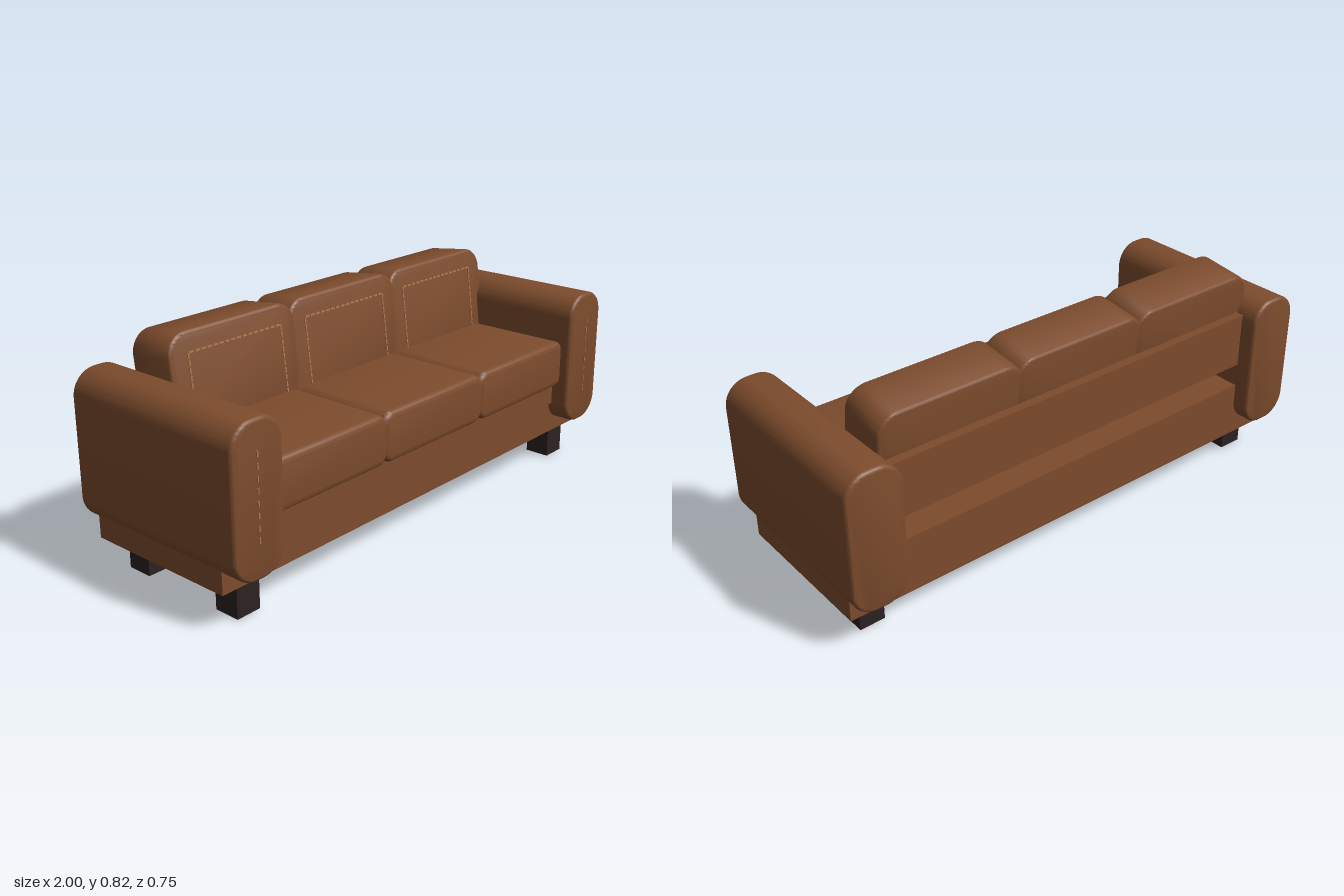
import * as THREE from 'three';
import { toCreasedNormals } from 'three/addons/utils/BufferGeometryUtils.js';

const mat = (name, color) => {
  const m = new THREE.MeshStandardMaterial({ color });
  m.name = name;
  return m;
};

// Rounded rectangle in x/y, extruded along z with a soft bevel; centred on the origin.
function padGeometry(w, h, d, radius, bevel) {
  const x = w / 2 - bevel, y = h / 2 - bevel, r = radius - bevel;
  const s = new THREE.Shape();
  s.moveTo(-x + r, -y);
  s.lineTo(x - r, -y);
  s.absarc(x - r, -y + r, r, -Math.PI / 2, 0);
  s.lineTo(x, y - r);
  s.absarc(x - r, y - r, r, 0, Math.PI / 2);
  s.lineTo(-x + r, y);
  s.absarc(-x + r, y - r, r, Math.PI / 2, Math.PI);
  s.lineTo(-x, -y + r);
  s.absarc(-x + r, -y + r, r, Math.PI, Math.PI * 1.5);
  const g = new THREE.ExtrudeGeometry(s, {
    depth: d - 2 * bevel, bevelEnabled: true, bevelThickness: bevel,
    bevelSize: bevel, bevelSegments: 4, curveSegments: 10,
  });
  g.translate(0, 0, -(d / 2 - bevel));
  return toCreasedNormals(g, 0.6);
}

export function createModel() {
  const leather = mat('brown leather', 0x7d4c2d);
  const thread = mat('tan thread', 0xb0754c);
  const wood = mat('dark wood', 0x2c2222);
  const sofa = new THREE.Group();
  sofa.name = 'sofa';

  const add = (parent, name, geo, material, x, y, z) => {
    const m = new THREE.Mesh(geo, material);
    m.name = name;
    m.position.set(x, y, z);
    parent.add(m);
    return m;
  };
  // Box given by its lower and upper corners
  const box = (name, material, a, b) => add(sofa, name,
    new THREE.BoxGeometry(b[0] - a[0], b[1] - a[1], b[2] - a[2]), material,
    (a[0] + b[0]) / 2, (a[1] + b[1]) / 2, (a[2] + b[2]) / 2);
  // Dashed row of thin stitches between two points on a z plane
  const stitches = (parent, x0, y0, x1, y1, z, count, fill, width) => {
    const upright = x0 === x1;
    const step = (upright ? y1 - y0 : x1 - x0) / count;
    const len = Math.abs(step) * fill;
    const geo = new THREE.BoxGeometry(upright ? width : len, upright ? len : width, 0.008);
    for (let i = 0; i < count; i++) {
      const t = (i + 0.5) / count;
      add(parent, 'stitch', geo, thread, x0 + (x1 - x0) * t, y0 + (y1 - y0) * t, z);
    }
  };

  // Frame
  box('base', leather, [-0.98, 0.115, -0.31], [0.98, 0.245, 0.285]);
  box('seatDeck', leather, [-0.8, 0.245, -0.31], [0.8, 0.33, 0.3]);
  box('backPanel', leather, [-0.8, 0.42, -0.31], [0.8, 0.63, -0.24]);

  // Arms with a stitched front, and legs
  const armGeo = padGeometry(0.21, 0.525, 0.745, 0.09, 0.014);
  const legGeo = new THREE.BoxGeometry(0.096, 0.117, 0.098);
  for (const side of [-1, 1]) {
    add(sofa, 'arm', armGeo, leather, side * 0.895, 0.4275, -0.0025);
    stitches(sofa, side * 0.9, 0.28, side * 0.9, 0.6, 0.3705, 8, 0.48, 0.005);
    add(sofa, 'frontLeg', legGeo, wood, side * 0.866, 0.0585, 0.226);
    add(sofa, 'rearLeg', legGeo, wood, side * 0.866, 0.0585, -0.199);
  }

  // Three seat cushions and three leaning back cushions
  const seatGeo = padGeometry(0.56, 0.185, 0.53, 0.05, 0.022);
  const backGeo = padGeometry(0.57, 0.38, 0.19, 0.08, 0.014);
  for (const i of [-1, 0, 1]) {
    const x = i * 0.535;
    add(sofa, 'seatCushion', seatGeo, leather, x, 0.4175, 0.065);
    const back = new THREE.Group();
    back.name = 'backCushion';
    back.position.set(x, 0.618, -0.179);
    back.rotation.x = -0.127;
    sofa.add(back);
    add(back, 'backPad', backGeo, leather, 0, 0, 0);
    stitches(back, -0.207, 0.118, 0.207, 0.118, 0.094, 16, 0.75, 0.006);
    for (const side of [-1, 1]) {
      stitches(back, side * 0.207, 0.12, side * 0.207, -0.13, 0.094, 10, 0.75, 0.006);
    }
  }
  return sofa;
}
